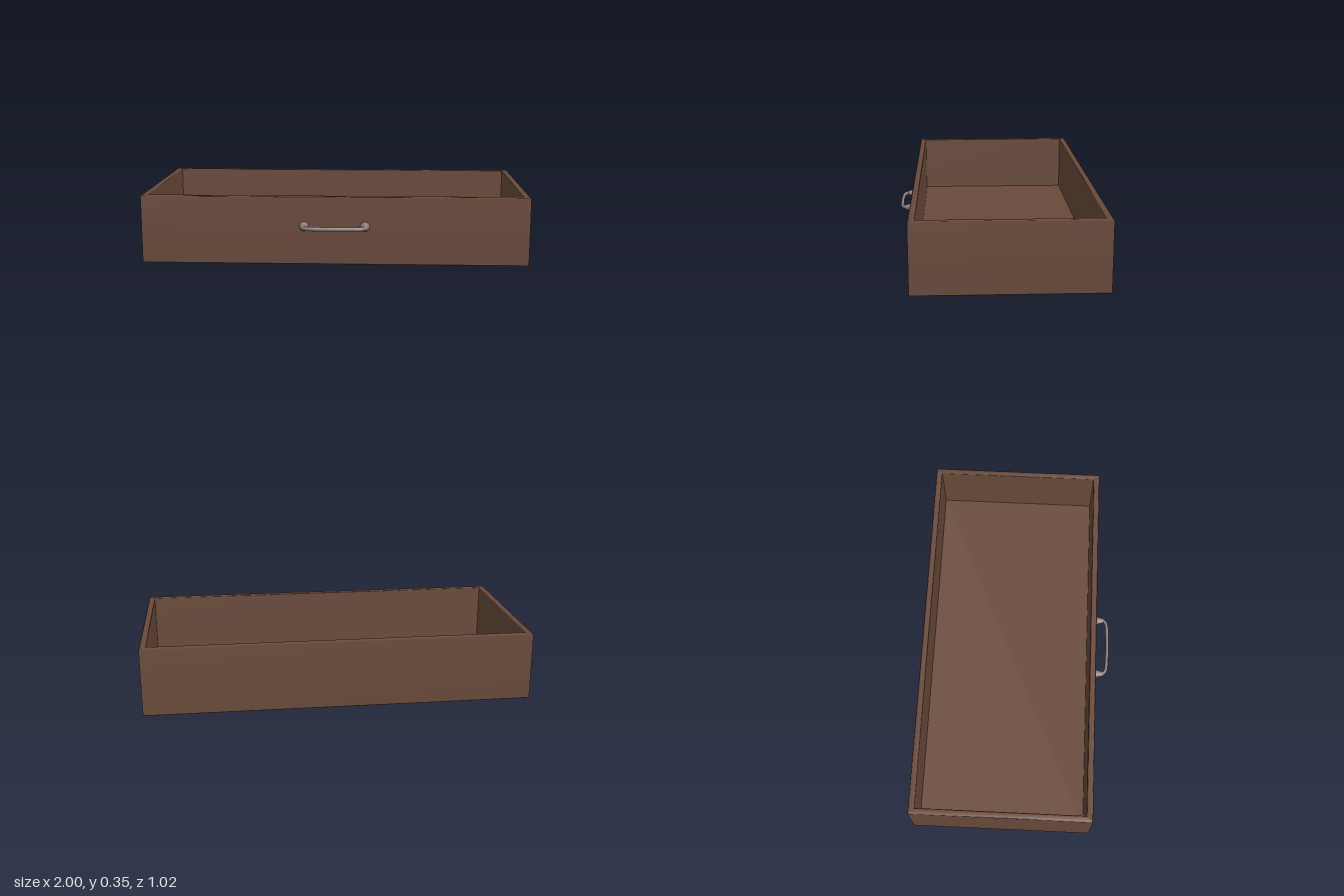
import * as THREE from 'three';

const wood = new THREE.MeshStandardMaterial({ color: 0x6a4a3b });
wood.name = 'brownWood';
const metal = new THREE.MeshStandardMaterial({ color: 0x8a7e7b });
metal.name = 'greyMetal';

const HALF_W = 1, HALF_D = 0.47, MID_Z = -0.04, WALL = 0.033;
const HEIGHT = 0.355, FLOOR = 0.04, UNDER = 0.06;

function add(parent, name, geometry, material) {
  const mesh = new THREE.Mesh(geometry, material);
  mesh.name = name;
  parent.add(mesh);
  return mesh;
}

// Wall cross-section as [inset, y]: under the edge, up the outside, over the rim, down inside
const section = [
  [UNDER, 0], [0.003, 0], [0, 0.003], [0, 0.18], [0, HEIGHT - 0.005], [0.005, HEIGHT],
  [WALL - 0.004, HEIGHT], [WALL, HEIGHT - 0.004], [WALL, FLOOR],
];

// One mitred wall swept between two corners, smooth along its section
function wallGeometry([ax, az], [bx, bz]) {
  const pos = [], index = [];
  section.forEach(([inset, y], i) => {
    for (const [cx, cz] of [[ax, az], [bx, bz]]) {
      pos.push(cx * (HALF_W - inset), y, cz * (HALF_D - inset));
    }
    if (i > 0) {
      const k = 2 * i;
      index.push(k - 2, k - 1, k + 1, k - 2, k + 1, k);
    }
  });
  const g = new THREE.BufferGeometry();
  g.setAttribute('position', new THREE.Float32BufferAttribute(pos, 3));
  g.setIndex(index);
  g.computeVertexNormals();
  return g;
}

// Horizontal panel facing up or down
function panelGeometry(inset, y, up) {
  const g = new THREE.PlaneGeometry(2 * (HALF_W - inset), 2 * (HALF_D - inset));
  g.rotateX(up ? -Math.PI / 2 : Math.PI / 2);
  return g.translate(0, y, 0);
}

export function createModel() {
  const model = new THREE.Group();
  model.name = 'drawer';

  // Open box
  const box = new THREE.Group();
  box.name = 'box';
  box.position.z = MID_Z;
  model.add(box);
  const corners = [[-1, 1], [1, 1], [1, -1], [-1, -1]];
  ['frontWall', 'leftWall', 'backWall', 'rightWall'].forEach((name, i) => {
    add(box, name, wallGeometry(corners[i], corners[(i + 1) % 4]), wood);
  });
  add(box, 'floor', panelGeometry(WALL, FLOOR, true), wood);
  add(box, 'underside', panelGeometry(UNDER, 0, false), wood);

  // Pull handle on the front
  const handle = new THREE.Group();
  handle.name = 'handle';
  handle.position.set(0, 0.2, HALF_D + MID_Z);
  model.add(handle);

  const postProfile = [
    [0, -0.004], [0.025, -0.004], [0.025, 0.004], [0.021, 0.012],
    [0.017, 0.03], [0.013, 0.045], [0.009, 0.054], [0, 0.058],
  ].map(([r, h]) => new THREE.Vector2(r, h));
  for (const side of [-1, 1]) {
    const post = add(handle, side > 0 ? 'leftPost' : 'rightPost',
      new THREE.LatheGeometry(postProfile, 20), metal);
    post.rotation.x = Math.PI / 2;
    post.position.set(side * 0.157, 0, 0);
  }

  // Slightly bowed grip with rounded ends
  const path = new THREE.CatmullRomCurve3([
    [-0.157, 0.03], [-0.152, 0.052], [-0.133, 0.064], [-0.07, 0.069],
    [0, 0.071], [0.07, 0.069], [0.133, 0.064], [0.152, 0.052], [0.157, 0.03],
  ].map(([x, z]) => new THREE.Vector3(x, 0, z)));
  const grip = add(handle, 'grip', new THREE.TubeGeometry(path, 64, 0.009, 12), metal);
  grip.scale.y = 1.2;

  return model;
}
